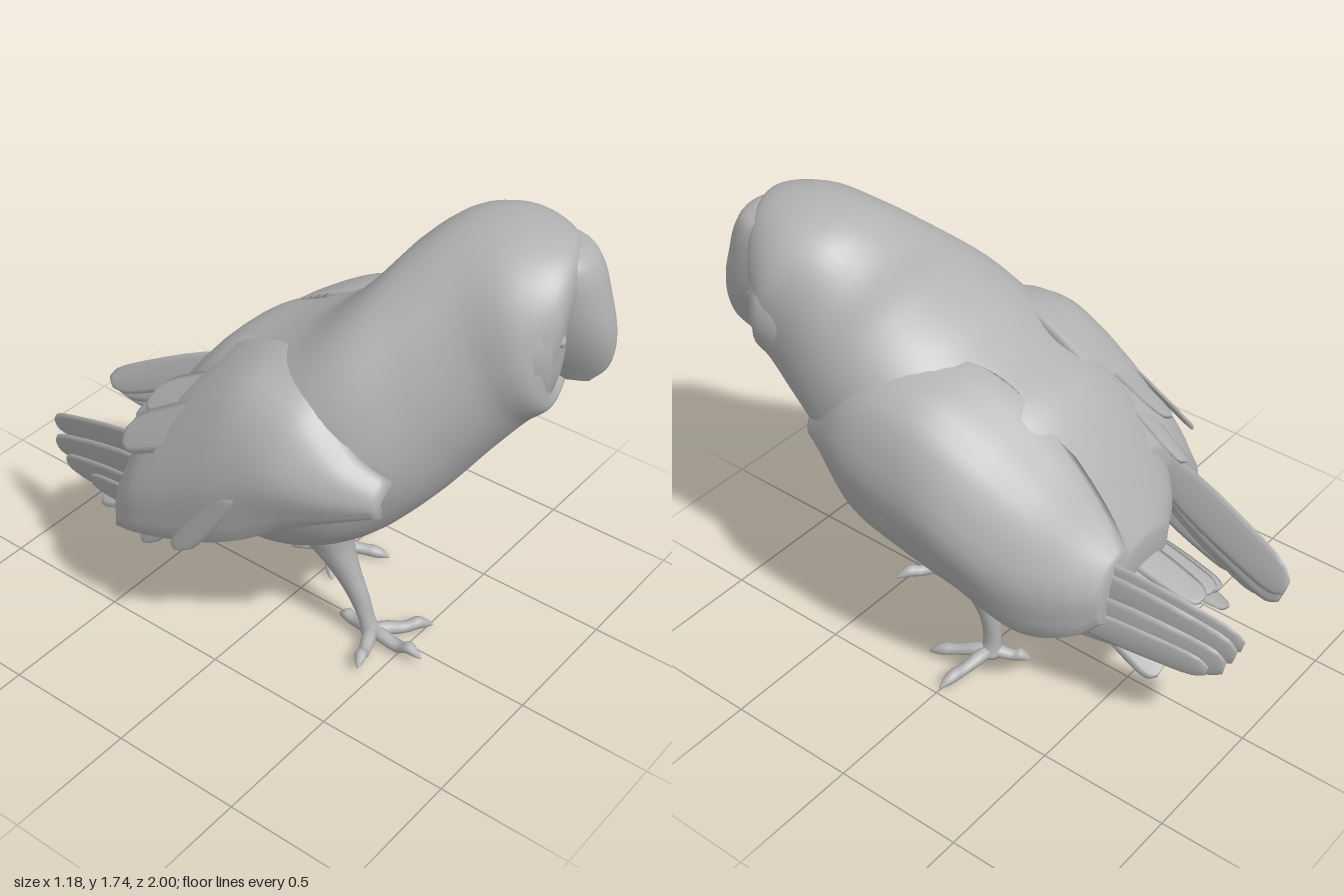
import * as THREE from 'three';

const plumage = new THREE.MeshStandardMaterial({ color: 0xb2b2b2 });
plumage.name = 'plumage grey';
const V = (x, y, z) => new THREE.Vector3(x, y, z);

// Smooth closed skin through rings that all have the same number of points
function loft(name, rings, steps) {
  const n = rings[0].length, pos = [], idx = [];
  const curves = rings[0].map((_, k) => new THREE.CatmullRomCurve3(rings.map(r => r[k])));
  for (let i = 0; i <= steps; i++) {
    for (const c of curves) pos.push(...c.getPoint(i / steps).toArray());
  }
  for (let i = 0; i < steps; i++) {
    for (let k = 0; k < n; k++) {
      const a = i * n + k, b = i * n + (k + 1) % n;
      idx.push(a, b, a + n, b, b + n, a + n);
    }
  }
  // end caps
  for (const end of [0, steps]) {
    const mid = V(0, 0, 0), base = end * n, c = pos.length / 3;
    for (let k = 0; k < n; k++) mid.add(V().fromArray(pos, (base + k) * 3));
    pos.push(...mid.divideScalar(n).toArray());
    for (let k = 0; k < n; k++) {
      const a = base + k, b = base + (k + 1) % n;
      if (end) idx.push(a, b, c); else idx.push(b, a, c);
    }
  }
  // turn the skin outward when its enclosed volume is negative
  let vol = 0;
  const p = i => V().fromArray(pos, i * 3);
  for (let i = 0; i < idx.length; i += 3) vol += p(idx[i]).dot(p(idx[i + 1]).cross(p(idx[i + 2])));
  if (vol < 0) idx.reverse();
  const g = new THREE.BufferGeometry();
  g.setAttribute('position', new THREE.Float32BufferAttribute(pos, 3));
  g.setIndex(idx);
  g.computeVertexNormals();
  const mesh = new THREE.Mesh(g, plumage);
  mesh.name = name;
  return mesh;
}

// Ring about c with half axes u and v; a power above 2 makes it squarer
function ring(c, u, v, n, power = 2) {
  const bend = t => Math.sign(t) * Math.abs(t) ** (2 / power);
  return Array.from({ length: n }, (_, k) => {
    const a = (k / n) * Math.PI * 2;
    return c.clone().addScaledVector(u, bend(Math.cos(a))).addScaledVector(v, bend(Math.sin(a)));
  });
}

// Round limb: rows of x, y, z, radius across, radius along
function limb(name, rows, steps, upright) {
  return loft(name, rows.map(([x, y, z, a, b], i) => {
    if (upright) return ring(V(x, y, z), V(a, 0, 0), V(0, 0, b), 14);
    const p = rows[Math.max(i - 1, 0)], q = rows[Math.min(i + 1, rows.length - 1)];
    const side = V(q[2] - p[2], 0, p[0] - q[0]).normalize().multiplyScalar(a);
    return ring(V(x, y, z), side, V(0, b, 0), 8);
  }), steps);
}

// Flat tapered blade from root to tip, wide along w
function feather(name, from, to, w, half) {
  const a = V(...from), b = V(...to), wide = V(...w).normalize();
  const thin = b.clone().sub(a).cross(wide).normalize().multiplyScalar(0.009);
  const rings = [[0, 0.6], [0.3, 1], [0.7, 1], [0.93, 0.8], [1, 0.4]].map(([t, s]) =>
    ring(a.clone().lerp(b, t), wide.clone().multiplyScalar(half * s), thin, 8));
  return loft(name, rings, 12);
}

// Curved wing shell: rows of z, then x, y pairs from the back down to the lower edge
function wing(name, rows) {
  return loft(name, rows.map(([z, ...xy]) => {
    const knots = [0, 2, 4, 6].map(i => V(xy[i], xy[i + 1], z));
    const outer = new THREE.CatmullRomCurve3(knots).getPoints(12);
    const inner = outer.map(q => V(q.x - Math.sign(q.x) * 0.035, q.y - 0.02, z)).reverse();
    return [...outer, ...inner];
  }), 40);
}

function makeFace() {
  const face = new THREE.Group();
  face.name = 'face';
  const profile = [[0, 0.115], [0.1, 0.11], [0.18, 0.1], [0.25, 0.08], [0.28, 0.04], [0.285, -0.03], [0.25, -0.1]]
    .map(([r, h]) => new THREE.Vector2(r, h)).reverse();
  const disc = new THREE.Mesh(new THREE.LatheGeometry(profile, 48).rotateX(Math.PI / 2), plumage);
  disc.name = 'facialDisc';
  disc.scale.x = 1.1;
  face.add(disc);
  // ridge between the eyes, running down into the beak
  const rows = [[0.28, 0.1, 0.12], [0.255, 0.13, 0.17], [0.2, 0.14, 0.205], [0.1, 0.135, 0.235],
    [0, 0.115, 0.26], [-0.1, 0.08, 0.265], [-0.18, 0.04, 0.245], [-0.24, 0.008, 0.19]];
  face.add(loft('beakRidge', rows.map(([y, w, h]) =>
    ring(V(0.01, y, h * 0.35), V(w, 0, 0), V(0, 0, h * 0.65), 24)), 30));
  for (const s of [-1, 1]) {
    const eye = new THREE.Mesh(new THREE.SphereGeometry(1, 16, 10), plumage);
    eye.name = 'eye';
    eye.scale.set(0.04, 0.02, 0.015);
    eye.position.set(s * 0.17, 0.02, 0.102);
    eye.rotation.z = s * 0.5;
    face.add(eye);
  }
  face.position.set(0.29, 1.4, 0.75);
  face.rotation.y = 0.43;
  return face;
}

// Leg with four clawed toes
function makeLeg(name, rows, toes) {
  const leg = new THREE.Group();
  leg.name = name;
  leg.add(limb('shank', rows, 28, true));
  const [ax, , az] = rows[rows.length - 1];
  for (const [x, y, z] of toes) {
    const at = (t, h, r) => [ax + (x - ax) * t, h, az + (z - az) * t, r, r];
    leg.add(limb('toe', [at(-0.1, 0.05, 0.02), at(0.2, 0.05, 0.027), at(0.55, 0.035, 0.022),
      at(0.75, y + 0.01, 0.024), at(0.9, y, 0.016), at(1, y - 0.012, 0.004)], 16, false));
  }
  return leg;
}

export function createModel() {
  const bird = new THREE.Group();
  bird.name = 'perchedBird';

  // Body and head: back y, z; belly y, z; centre x, half width, turn, squareness
  const body = [
    [0.66, -0.53, 0.46, -0.51, -0.05, 0.13, 0, 2],
    [0.79, -0.46, 0.41, -0.4, -0.05, 0.28, 0, 2.1],
    [0.99, -0.34, 0.4, -0.2, -0.04, 0.38, 0, 2.2],
    [1.15, -0.2, 0.4, 0, 0, 0.43, 0, 2.4],
    [1.25, 0, 0.43, 0.2, 0.02, 0.46, 0, 2.4],
    [1.34, 0.15, 0.56, 0.42, 0.04, 0.47, 0, 2.4],
    [1.48, 0.28, 0.75, 0.59, 0.09, 0.435, 0.03, 2.3],
    [1.62, 0.38, 0.94, 0.72, 0.18, 0.375, 0.1, 2.2],
    [1.71, 0.5, 1.08, 0.82, 0.245, 0.325, 0.2, 2.2],
    [1.74, 0.68, 1.15, 0.87, 0.285, 0.305, 0.33, 2.25],
    [1.7, 0.85, 1.2, 0.83, 0.315, 0.24, 0.42, 2.1],
    [1.63, 0.89, 1.3, 0.83, 0.325, 0.12, 0.43, 2],
  ];
  bird.add(loft('body', body.map(([yd, zd, yv, zv, cx, w, turn, power]) => ring(
    V(cx, (yd + yv) / 2, (zd + zv) / 2),
    V(w * Math.cos(turn), 0, -w * Math.sin(turn)),
    V(0, (yd - yv) / 2, (zd - zv) / 2), 48, power)), 66));
  bird.add(makeFace());

  // Folded wings, spreading from the back
  bird.add(wing('rightWing', [
    [0.55, 0.42, 1.05, 0.485, 1.01, 0.505, 0.95, 0.48, 0.89],
    [0.35, 0.34, 1.28, 0.505, 1.18, 0.575, 0.96, 0.52, 0.72],
    [0.1, 0.2, 1.28, 0.48, 1.21, 0.585, 0.93, 0.535, 0.66],
    [-0.1, 0.15, 1.2, 0.45, 1.12, 0.575, 0.86, 0.51, 0.59],
    [-0.32, 0.14, 1.02, 0.38, 0.95, 0.49, 0.72, 0.42, 0.43],
    [-0.48, 0.14, 0.84, 0.28, 0.8, 0.375, 0.66, 0.35, 0.45],
    [-0.57, 0.17, 0.75, 0.23, 0.73, 0.3, 0.63, 0.29, 0.52]]));
  bird.add(wing('leftWing', [
    [0.6, -0.31, 1.0, -0.36, 0.96, -0.375, 0.92, -0.36, 0.88],
    [0.48, -0.34, 1.08, -0.42, 1.02, -0.45, 0.93, -0.42, 0.84],
    [0.3, -0.28, 1.26, -0.44, 1.16, -0.535, 0.96, -0.48, 0.76],
    [0.1, -0.2, 1.27, -0.43, 1.19, -0.565, 0.91, -0.54, 0.64],
    [-0.1, -0.18, 1.19, -0.43, 1.08, -0.575, 0.81, -0.565, 0.56],
    [-0.3, -0.2, 1.0, -0.43, 0.9, -0.57, 0.7, -0.575, 0.5],
    [-0.4, -0.25, 0.85, -0.41, 0.77, -0.54, 0.62, -0.56, 0.47]]));

  // Long flight feathers
  const flight = [
    ['rightFlightFeather', [0.25, 0.72, -0.45], [0.06, 0.49, -1], [0, 1, -0.3], 0.07],
    ['rightFlightFeather', [0.27, 0.67, -0.4], [0.09, 0.46, -0.99], [0, 1, -0.3], 0.085],
    ['rightFlightFeather', [0.3, 0.58, -0.4], [0.12, 0.42, -0.97], [0, 1, -0.2], 0.08],
    ['rightFlightFeather', [0.32, 0.52, -0.35], [0.15, 0.4, -0.92], [0, 1, -0.2], 0.06],
    ['rightFlightFeather', [0.34, 0.46, -0.25], [0.18, 0.4, -0.75], [0.2, 1, 0], 0.04],
    ['leftFlightFeather', [-0.37, 0.72, -0.3], [-0.28, 0.5, -0.96], [-0.3, 1, -0.2], 0.085],
    ['leftFlightFeather', [-0.41, 0.65, -0.3], [-0.31, 0.43, -0.93], [-0.3, 1, -0.2], 0.09],
    ['leftFlightFeather', [-0.45, 0.58, -0.28], [-0.34, 0.4, -0.85], [-0.3, 1, -0.2], 0.08],
    ['leftFlightFeather', [-0.45, 0.52, -0.22], [-0.37, 0.41, -0.7], [-0.3, 1, 0], 0.07],
    // ragged coverts on the raised wing and drooping edge
    ['leftCovert', [-0.35, 1.2, 0.12], [-0.36, 0.93, -0.38], [1, 0.6, 0], 0.09],
    ['leftCovert', [-0.46, 1.13, 0.12], [-0.48, 0.83, -0.4], [0.7, 1, 0], 0.09],
    ['leftCovert', [-0.31, 1.1, -0.1], [-0.32, 0.8, -0.48], [1, 0.6, 0], 0.07],
    ['leftEdgeFeather', [-0.56, 0.85, 0.12], [-0.58, 0.54, -0.08], [0, 0.3, 1], 0.07],
    ['leftEdgeFeather', [-0.55, 0.78, -0.05], [-0.56, 0.47, -0.25], [0, 0.3, 1], 0.06],
    ['leftEdgeFeather', [-0.47, 0.75, -0.1], [-0.43, 0.41, -0.3], [0.3, 0.3, 1], 0.07],
  ];
  for (const f of flight) bird.add(feather(...f));

  // Arched tail fan with low outer feathers
  for (let i = -2; i <= 2; i++) {
    bird.add(feather('tailFeather', [-0.07 + i * 0.06, 0.58 - 0.015 * i * i, -0.35],
      [-0.07 + i * 0.08, 0.47 - 0.02 * i * i, -0.75 + 0.008 * i * i], [1, -0.12 * i, 0], 0.07));
  }
  for (const s of [-1, 1]) {
    bird.add(feather('outerTailFeather', [-0.07 + s * 0.14, 0.45, -0.35],
      [-0.07 + s * 0.2, 0.28, -0.73], [1, -0.5 * s, 0], 0.085));
  }

  // Legs, the left one stepping forward
  bird.add(makeLeg('leftLeg', [
    [-0.09, 0.62, 0.1, 0.2, 0.16], [-0.095, 0.5, 0.17, 0.14, 0.125], [-0.095, 0.42, 0.21, 0.085, 0.09],
    [-0.08, 0.3, 0.27, 0.05, 0.06], [-0.07, 0.2, 0.32, 0.037, 0.045],
    [-0.065, 0.1, 0.36, 0.033, 0.032], [-0.06, 0.04, 0.38, 0.04, 0.04]],
    [[-0.24, 0.05, 0.45], [-0.06, 0.05, 0.6], [0.13, 0.035, 0.52], [-0.03, 0.03, 0.21]]));
  bird.add(makeLeg('rightLeg', [
    [0.2, 0.62, 0, 0.18, 0.17], [0.25, 0.5, 0, 0.12, 0.125], [0.26, 0.42, 0, 0.085, 0.095],
    [0.24, 0.3, -0.02, 0.05, 0.055], [0.23, 0.2, -0.04, 0.038, 0.04],
    [0.23, 0.1, -0.045, 0.03, 0.036], [0.24, 0.035, -0.045, 0.04, 0.04]],
    [[0.48, 0.024, 0], [0.35, 0.02, 0.16], [0.1, 0.03, 0.07], [0.16, 0.03, -0.17]]));

  return bird;
}
